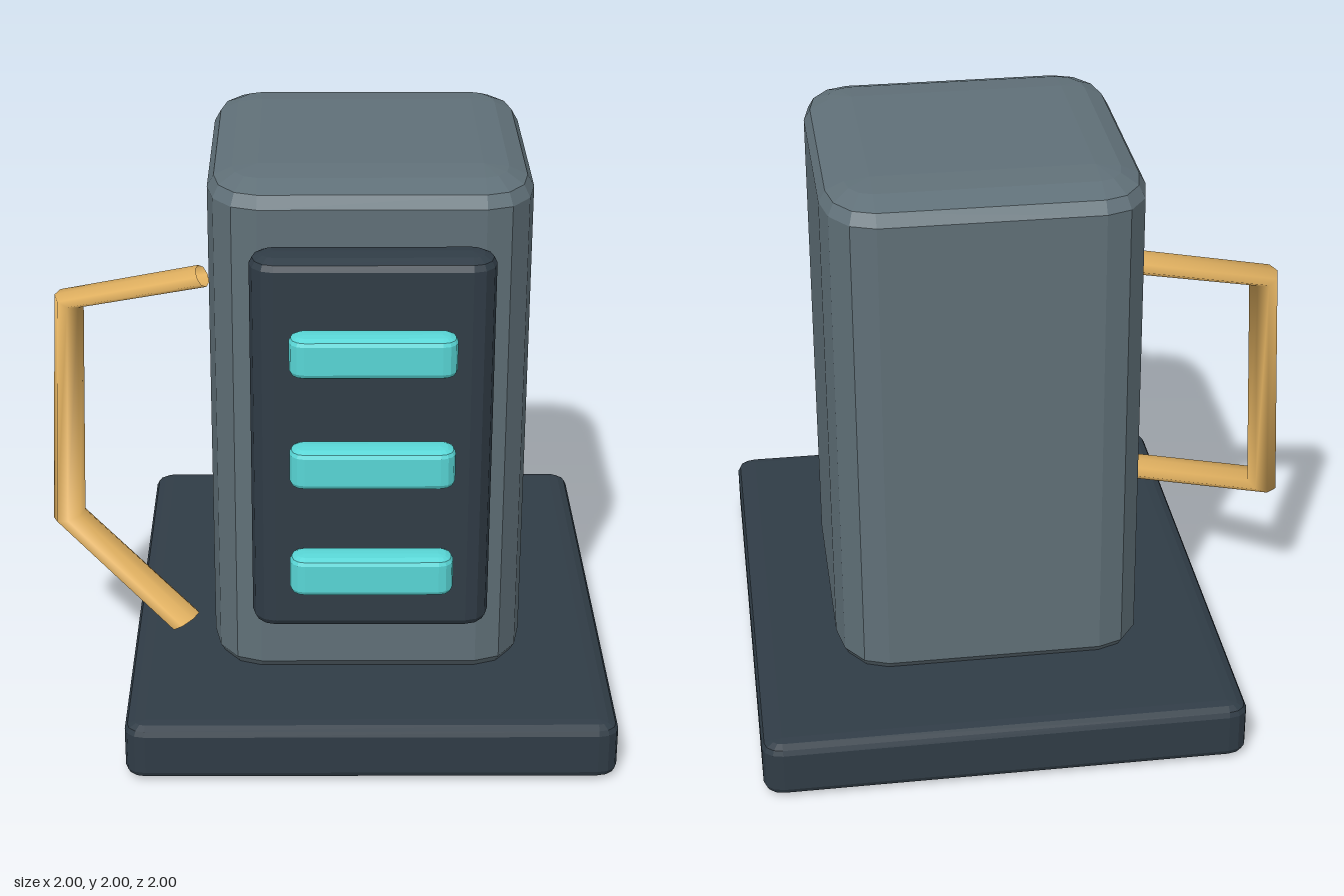
import * as THREE from 'three';
import { ConvexGeometry } from 'three/addons/geometries/ConvexGeometry.js';

const paint = (color, extra = {}) => new THREE.MeshStandardMaterial({ color, ...extra });

// Box given by its min and max corners, with faceted ellipsoidal corners of radii r = [rx, ry, rz]
function softBox(name, min, max, r, material) {
  const mid = min.map((v, i) => (v + max[i]) / 2);
  const core = min.map((v, i) => (max[i] - v) / 2 - r[i]);
  const points = [];
  for (const sx of [-1, 1]) for (const sy of [-1, 1]) for (const sz of [-1, 1]) {
    for (let i = 0; i <= 3; i++) {
      const lat = (i * Math.PI) / 6;
      const count = i === 3 ? 0 : 3; // the pole is a single point
      for (let j = 0; j <= count; j++) {
        const lon = (j * Math.PI) / 6;
        points.push(new THREE.Vector3(
          sx * (core[0] + r[0] * Math.cos(lat) * Math.cos(lon)),
          sy * (core[1] + r[1] * Math.sin(lat)),
          sz * (core[2] + r[2] * Math.cos(lat) * Math.sin(lon))
        ));
      }
    }
  }
  const mesh = new THREE.Mesh(new ConvexGeometry(points), material);
  mesh.position.set(...mid);
  mesh.name = name;
  return mesh;
}

// Path with straight runs and sharp bends, one tube ring per corner
class BentPath extends THREE.Curve {
  constructor(points) {
    super();
    this.points = points;
  }
  corner(u) {
    return Math.round(u * (this.points.length - 1));
  }
  getPoint(u, target = new THREE.Vector3()) {
    return target.copy(this.points[this.corner(u)]);
  }
  getPointAt(u, target) {
    return this.getPoint(u, target);
  }
  getTangentAt(u, target = new THREE.Vector3()) {
    const i = this.corner(u), p = this.points;
    target.set(0, 0, 0);
    if (i > 0) target.add(p[i].clone().sub(p[i - 1]).normalize());
    if (i < p.length - 1) target.add(p[i + 1].clone().sub(p[i]).normalize());
    return target.normalize();
  }
}

export function createModel() {
  const model = new THREE.Group();
  model.name = 'pumpStation';

  const grey = paint(0x607078, { flatShading: true });
  const dark = paint(0x303c46, { flatShading: true });
  const cyan = paint(0x58d6d6, { flatShading: true });
  const gold = paint(0xe0b060, { side: THREE.DoubleSide });

  // Plinth, cabinet and front panel
  model.add(softBox('base', [-0.68, 0, -1], [1, 0.21, 1], [0.07, 0.035, 0.06], dark));
  model.add(softBox('body', [-0.39, 0.16, -0.6], [0.7, 2, 0.6], [0.17, 0.08, 0.24], grey));
  model.add(softBox('frontPanel', [-0.245, 0.46, 0.585], [0.56, 1.81, 0.775], [0.08, 0.04, 0.09], dark));

  // Three glowing bars on the panel
  [1.51, 1.115, 0.72].forEach((y, i) => {
    model.add(softBox(`displayBar${i + 1}`, [-0.115, y - 0.073, 0.77], [0.43, y + 0.073, 0.89], [0.05, 0.025, 0.05], cyan));
  });

  // Bent hose: a round tube stretched to an oval section
  const section = new THREE.Vector3(0.062, 0.027, 0.088);
  const path = [[-0.43, 1.46, 0], [-0.905, 1.375, 0], [-0.94, 0.52, 0], [-0.49, 0.343, 0.49]]
    .map((p) => new THREE.Vector3(...p).divide(section));
  const tube = new THREE.TubeGeometry(new BentPath(path), 3, 1, 8, false);
  tube.scale(section.x, section.y, section.z);
  const hose = new THREE.Mesh(tube, gold);
  hose.name = 'hose';
  model.add(hose);

  return model;
}
